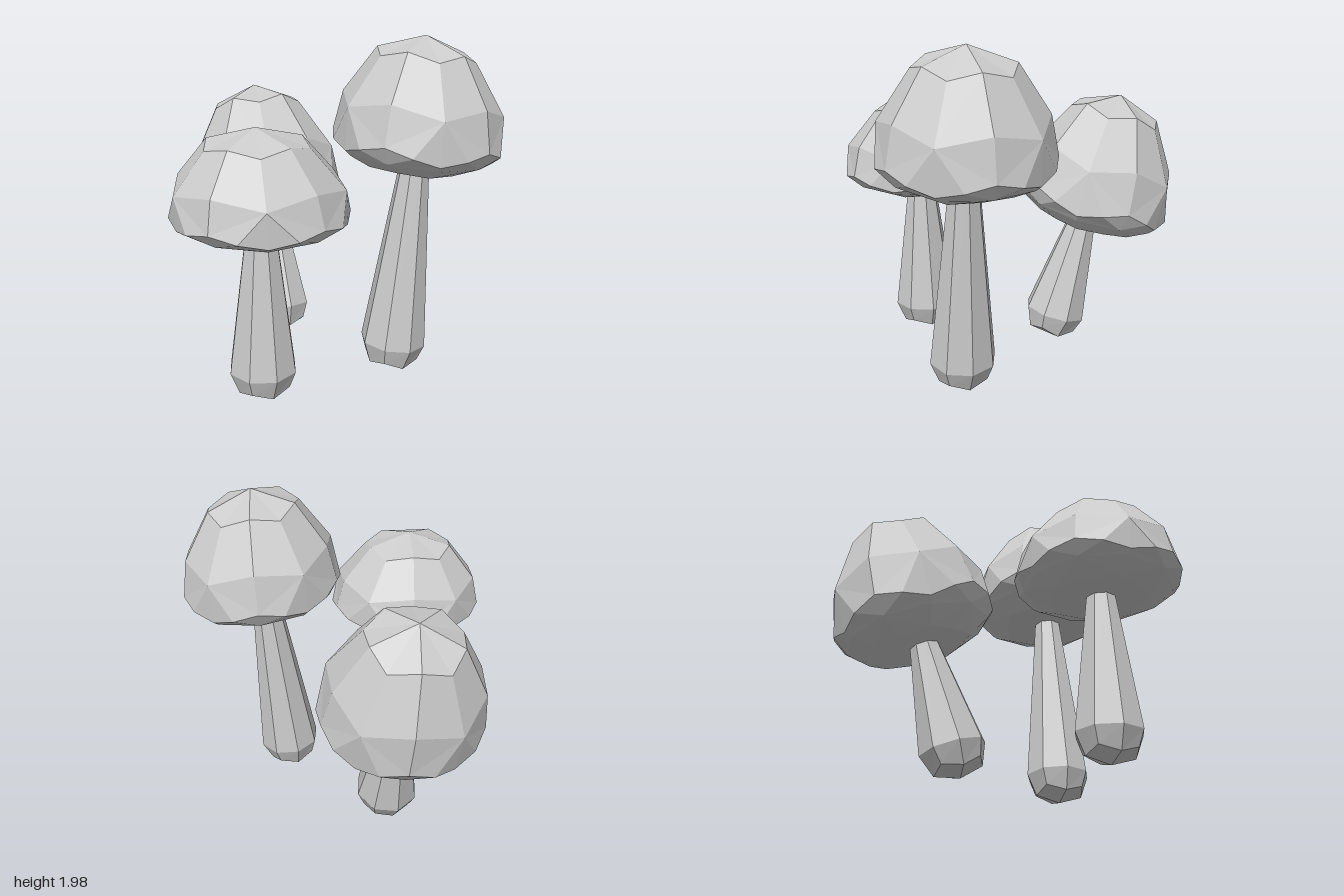
import * as THREE from 'three';

const material = new THREE.MeshStandardMaterial({ color: 0xcccccc, flatShading: true });

// Cap rings, named by polar angle: [radius, fraction of cap height]
const CAP = {
  v0: [0, 1], e32: [0.285, 0.83], f37: [0.265, 0.885], e58: [0.44, 0.53],
  v63: [0.465, 0.455], f79: [0.485, 0.23], e90: [0.485, 0.18], f101: [0.465, 0.13],
  v117: [0.43, 0.1], e122: [0.43, 0.09], f143: [0.3, 0], e148: [0.265, 0], v180: [0, 0],
};

function facetMesh(name, triangles) {
  const geometry = new THREE.BufferGeometry().setFromPoints(triangles);
  geometry.computeVertexNormals();
  const mesh = new THREE.Mesh(geometry, material);
  mesh.name = name;
  return mesh;
}

// Flat-bottomed dome: an icosahedron whose faces are each cut into three kites
function makeCap(height) {
  const out = [];
  const p = (ring, k) => {
    const [r, f] = CAP[ring], a = k * Math.PI * 0.4;
    return new THREE.Vector3(-r * Math.cos(a) - 0.03 * f, f * height, r * Math.sin(a));
  };
  const face = (a, b, c, ab, bc, ca, mid) => {
    for (const [v, next, prev] of [[a, ab, ca], [b, bc, ab], [c, ca, bc]]) {
      out.push(v, next, mid, v, mid, prev);
    }
  };
  for (let k = 0; k < 5; k++) {
    const h = k + 0.5;
    face(p('v0', 0), p('v63', k), p('v63', k + 1),
      p('e32', k), p('e58', h), p('e32', k + 1), p('f37', h));
    face(p('v63', k + 1), p('v63', k), p('v117', h),
      p('e58', h), p('e90', k + 0.25), p('e90', k + 0.75), p('f79', h));
    face(p('v63', k), p('v117', k - 0.5), p('v117', h),
      p('e90', k - 0.25), p('e122', k), p('e90', k + 0.25), p('f101', k));
    face(p('v180', 0), p('v117', h), p('v117', k - 0.5),
      p('e148', h), p('e122', k), p('e148', k - 0.5), p('f143', k));
  }
  return facetMesh('cap', out);
}

// Eight-sided tapering stem with a rounded, kite-faceted foot
function makeStem(height) {
  const out = [];
  const p = (r, y, k) => {
    const a = k * Math.PI / 4;
    return new THREE.Vector3(r * Math.cos(a), y, -r * Math.sin(a));
  };
  const quad = (a, b, c, d) => out.push(a, b, c, a, c, d);
  const foot = (k) => (k % 2 ? p(0.16, 0.075, k) : p(0.143, 0.04, k));
  const top = height + 0.04;
  for (let k = 0; k < 8; k++) {
    quad(foot(k), foot(k + 1), p(0.195, 0.17, k + 1), p(0.195, 0.17, k));
    quad(p(0.195, 0.17, k), p(0.195, 0.17, k + 1), p(0.083, top, k + 1), p(0.083, top, k));
    out.push(p(0.083, top, k), p(0.083, top, k + 1), p(0, top, 0));
    if (k % 2 === 0) quad(p(0, 0, 0), foot(k + 2), foot(k + 1), foot(k));
  }
  return facetMesh('stem', out);
}

export function createModel() {
  const model = new THREE.Group();
  model.name = 'mushrooms';
  const mushrooms = [
    { name: 'rightMushroom', base: [-0.495, 0.03, 0.5], tilt: [0, 0], stem: 0.97, cap: 0.575, shift: [0.01, -0.01] },
    { name: 'leftMushroom', base: [0.34, 0.01, 0.5], tilt: [0, -0.096], stem: 1.25, cap: 0.74, shift: [0.01, -0.01] },
    { name: 'backMushroom', base: [-0.06, 0.02, -0.21], tilt: [-0.28, -0.025], stem: 0.8, cap: 0.83, shift: [0.01, -0.02] },
  ];
  for (const m of mushrooms) {
    const group = new THREE.Group();
    group.name = m.name;
    const cap = makeCap(m.cap);
    cap.position.set(m.shift[0], m.stem, m.shift[1]);
    group.add(makeStem(m.stem), cap);
    group.position.set(...m.base);
    group.rotation.set(m.tilt[0], 0, m.tilt[1]);
    model.add(group);
  }
  return model;
}
